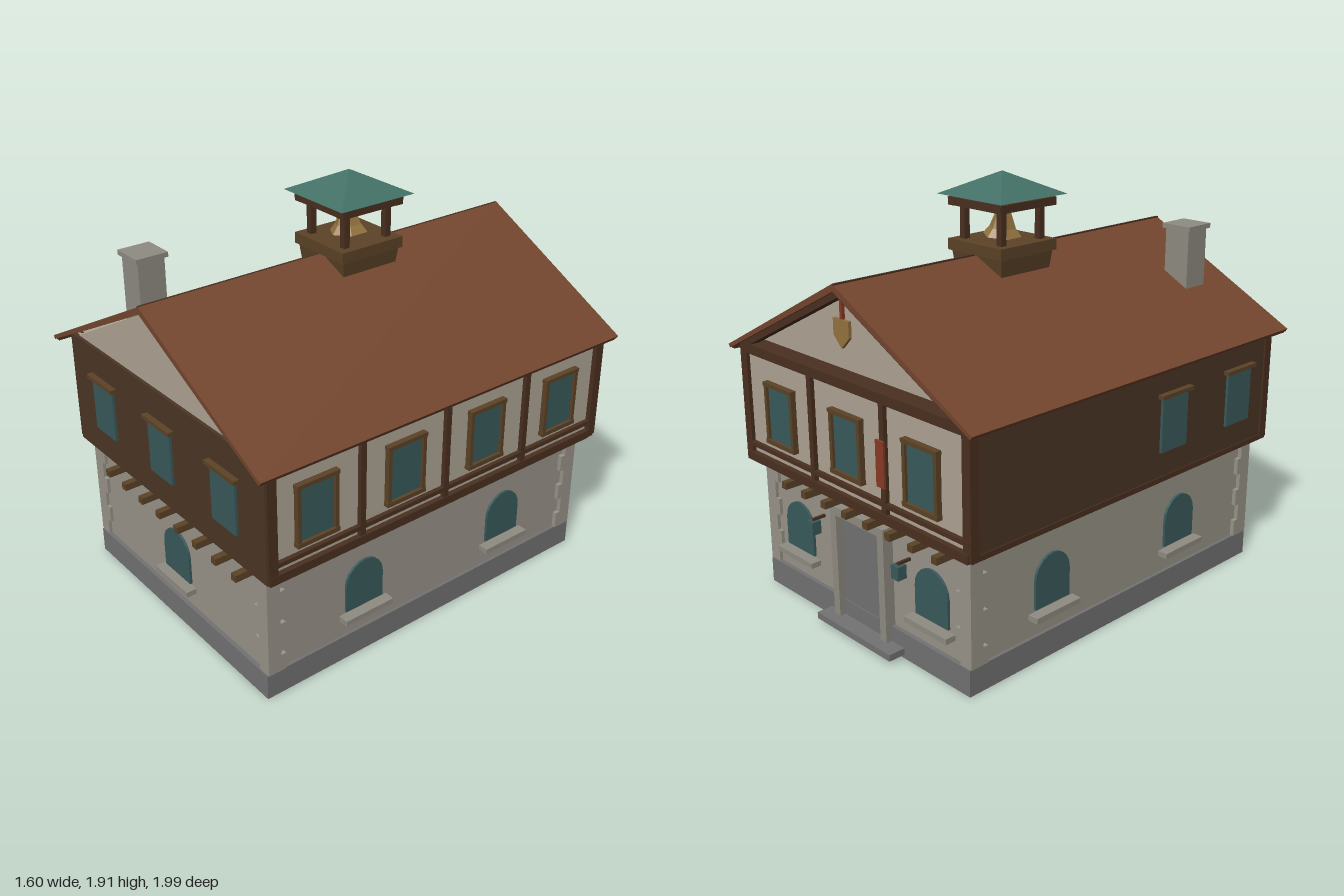
import * as THREE from 'three';

const mat = (color) => new THREE.MeshStandardMaterial({ color, flatShading: true, side: THREE.DoubleSide });
const M = {
  stone: mat(0x9a958a), base: mat(0x737373), trim: mat(0x8f8c82), plaster: mat(0xb0a595),
  timber: mat(0x4a3020), plank: mat(0x4c3626), frame: mat(0x5c4327), glass: mat(0x3a5a5c),
  roof: mat(0x74462f), ridge: mat(0x4a2f22), copper: mat(0x437066), brass: mat(0x94743f), red: mat(0x8a3a24),
};

function add(parent, name, geo, m, x = 0, y = 0, z = 0) {
  const mesh = new THREE.Mesh(geo, m);
  mesh.name = name;
  mesh.position.set(x, y, z);
  parent.add(mesh);
  return mesh;
}
const box = (p, name, m, w, h, d, x, y, z) => add(p, name, new THREE.BoxGeometry(w, h, d), m, x, y, z);

function sub(parent, name, x = 0, y = 0, z = 0) {
  const g = new THREE.Group();
  g.name = name;
  g.position.set(x, y, z);
  parent.add(g);
  return g;
}

function polygon(points, depth) {
  const s = new THREE.Shape(points.map(([x, y]) => new THREE.Vector2(x, y)));
  return new THREE.ExtrudeGeometry(s, { depth, bevelEnabled: false });
}

// beam laid between two points of a wall plane
function beam(p, name, a, b, t, d, z) {
  const dx = b[0] - a[0], dy = b[1] - a[1];
  const m = box(p, name, M.timber, Math.hypot(dx, dy), t, d, (a[0] + b[0]) / 2, (a[1] + b[1]) / 2, z);
  m.rotation.z = Math.atan2(dy, dx);
}

// arched lower window with a stone sill
function archedWindow(p, u, d) {
  const g = sub(p, 'archedWindow', u, 0, d);
  const s = new THREE.Shape();
  s.moveTo(-0.1, 0.24);
  s.lineTo(0.1, 0.24);
  s.lineTo(0.1, 0.37);
  s.absarc(0, 0.37, 0.1, 0, Math.PI, false);
  s.closePath();
  add(g, 'pane', new THREE.ExtrudeGeometry(s, { depth: 0.012, bevelEnabled: false, curveSegments: 5 }), M.glass);
  box(g, 'sill', M.trim, 0.26, 0.025, 0.06, 0, 0.215, 0.02);
}

// framed upper window
function upperWindow(p, u, d, framed = true) {
  const g = sub(p, 'upperWindow', u, 0, d);
  box(g, 'pane', M.glass, 0.17, 0.25, 0.015, 0, 0.885, 0.005);
  box(g, 'lintel', M.frame, 0.21, 0.018, 0.035, 0, 1.018, 0.01);
  if (!framed) return;
  for (const s of [-1, 1]) box(g, 'jamb', M.frame, 0.018, 0.26, 0.03, s * 0.093, 0.885, 0.01);
  box(g, 'sill', M.frame, 0.21, 0.02, 0.035, 0, 0.752, 0.01);
}

// exposed frame of posts and rails on an upper wall
function timberFrame(p, posts, half, d) {
  for (const u of posts) box(p, 'post', M.timber, 0.028, 0.52, 0.03, u, 0.89, d);
  box(p, 'topRail', M.timber, half * 2, 0.03, 0.035, 0, 1.145, d);
  box(p, 'middleRail', M.timber, half * 2, 0.02, 0.03, 0, 0.7, d);
  box(p, 'bottomRail', M.timber, half * 2, 0.04, 0.04, 0, 0.64, d);
}

function brackets(p, d) {
  for (let i = 0; i < 8; i++)
    box(p, 'joistEnd', M.frame, 0.032, 0.032, 0.12, -0.43 + i * 0.143, 0.585, d);
}

function buildCupola(parent) {
  const g = sub(parent, 'bellCupola', -0.01, 0, -0.08);
  const foot = add(g, 'foot', new THREE.CylinderGeometry(0.222, 0.205, 0.1, 4), M.frame, 0, 1.53, 0);
  foot.rotation.y = Math.PI / 4;
  box(g, 'platform', M.frame, 0.335, 0.05, 0.335, 0, 1.59, 0);
  for (const x of [-1, 1]) for (const z of [-1, 1])
    box(g, 'post', M.timber, 0.03, 0.16, 0.03, x * 0.115, 1.69, z * 0.115);
  for (const s of [-1, 1]) {
    box(g, 'topBeam', M.timber, 0.335, 0.035, 0.04, 0, 1.78, s * 0.145);
    box(g, 'topBeam', M.timber, 0.04, 0.035, 0.335, s * 0.145, 1.78, 0);
  }
  const roof = add(g, 'copperRoof', new THREE.ConeGeometry(0.2 * Math.SQRT2, 0.1, 4), M.copper, 0, 1.86, 0);
  roof.rotation.y = Math.PI / 4;
  const profile = [[0.001, 0.12], [0.03, 0.115], [0.045, 0.075], [0.06, 0.035], [0.088, 0]];
  const bell = add(g, 'bell', new THREE.LatheGeometry(profile.map(([x, y]) => new THREE.Vector2(x, y)), 6),
    M.brass, 0, 1.63, 0);
  bell.rotation.z = 0.08;
  box(g, 'bellHanger', M.timber, 0.02, 0.04, 0.02, 0, 1.76, 0);
}

function buildEntrance(back, d) {
  const g = sub(back, 'entrance', 0.02, 0, d);
  box(g, 'door', M.base, 0.3, 0.45, 0.02, 0, 0.3, 0.005);
  for (const s of [-1, 1]) box(g, 'doorJamb', M.trim, 0.04, 0.5, 0.06, s * 0.16, 0.3, 0.02);
  box(g, 'doorLintel', M.trim, 0.36, 0.04, 0.06, 0, 0.55, 0.02);
  box(g, 'doorStep', M.base, 0.5, 0.03, 0.1, 0.01, 0.033, 0.05);
  for (const s of [-1, 1]) {
    const l = sub(g, 'lantern', s * 0.29, 0.43, 0.06);
    box(l, 'lanternBody', M.glass, 0.045, 0.06, 0.045, 0, 0, 0);
    box(l, 'lanternArm', M.timber, 0.012, 0.012, 0.07, 0, 0.035, -0.03);
  }
}

export function createModel() {
  const model = new THREE.Group();
  model.name = 'house';
  const body = sub(model, 'walls', -0.01);

  // stone storey on its plinth
  box(body, 'plinth', M.base, 1.37, 0.12, 1.82, 0, 0.06, -0.01);
  box(body, 'stoneWalls', M.stone, 1.34, 0.5, 1.78, 0, 0.37, -0.01);
  for (const x of [-1, 1]) for (const z of [-1, 1]) for (let i = 0; i < 6; i++) {
    const long = i % 2 ? 0.09 : 0.065;
    box(body, 'cornerStone', M.stone, long, 0.08, 0.155 - long,
      x * (0.69 - long / 2), 0.16 + i * 0.08, -0.01 + z * (0.905 - (0.155 - long) / 2));
  }

  // overhanging timber storey
  box(body, 'upperFloor', M.timber, 1.5, 0.025, 1.88, 0, 0.632, -0.02);
  box(body, 'upperWalls', M.plaster, 1.46, 0.52, 1.86, 0, 0.9, -0.02);
  for (const x of [-1, 1]) for (const z of [0.9, -0.945])
    box(body, 'cornerPost', M.timber, 0.045, 0.53, 0.045, x * 0.73, 0.895, z);
  add(body, 'gableFill', polygon([[-0.72, 1.155], [0.72, 1.155], [0, 1.535]], 1.79), M.plaster, 0.01, 0, -0.88);

  // one group per side, each with its own outward direction
  const [front, right, back, left] = ['frontSide', 'leftSide', 'backSide', 'rightSide'].map((n, i) => {
    const g = sub(body, n);
    g.rotation.y = i * Math.PI / 2;
    return g;
  });

  // front: planked wall with three windows
  box(front, 'planking', M.plank, 1.48, 0.54, 0.02, 0, 0.89, 0.915);
  for (const u of [-0.47, 0, 0.47]) upperWindow(front, u, 0.925, false);
  archedWindow(front, 0, 0.88);
  brackets(front, 0.91);

  // long side with exposed frame
  timberFrame(right, [-0.45, 0.01, 0.48], 0.92, 0.735);
  for (const u of [-0.68, -0.22, 0.24, 0.7]) upperWindow(right, u, 0.73);
  for (const u of [-0.38, 0.45]) archedWindow(right, u, 0.67);

  // planked long side
  box(left, 'planking', M.plank, 1.86, 0.54, 0.02, -0.02, 0.89, 0.735);
  for (const u of [0.22, 0.68]) upperWindow(left, u, 0.745, false);
  for (const u of [-0.45, 0.38]) archedWindow(left, u, 0.67);

  // back: entrance, exposed frame and open gable truss
  timberFrame(back, [-0.24, 0.24], 0.74, 0.955);
  for (const u of [-0.47, 0, 0.47]) upperWindow(back, u, 0.95);
  for (const u of [-0.45, 0.45]) archedWindow(back, u, 0.9);
  brackets(back, 0.935);
  buildEntrance(back, 0.9);
  box(back, 'banner', M.red, 0.05, 0.2, 0.01, 0.24, 0.88, 0.978);
  beam(back, 'rafter', [-0.73, 1.16], [0, 1.53], 0.035, 0.05, 0.95);
  beam(back, 'rafter', [0.73, 1.16], [0, 1.53], 0.035, 0.05, 0.95);
  beam(back, 'tieBeam', [-0.74, 1.16], [0.74, 1.16], 0.03, 0.09, 0.93);
  add(back, 'gablePendant', polygon([[-0.05, 1.42], [0.05, 1.42], [0.05, 1.35], [0, 1.3], [-0.05, 1.35]], 0.015),
    M.brass, 0, 0, 0.95);
  box(back, 'pendantHanger', M.red, 0.015, 0.1, 0.015, 0, 1.46, 0.955);

  // gable roof slab and ridge seam
  add(model, 'roof', polygon(
    [[-0.8, 1.15], [-0.79, 1.135], [0, 1.535], [0.79, 1.135], [0.8, 1.15], [0, 1.567]], 1.98), M.roof, 0, 0, -0.99);
  box(model, 'ridgeSeam', M.ridge, 0.01, 0.008, 1.98, -0.005, 1.564, 0);
  for (const s of [-1, 1]) box(model, 'eaveBoard', M.ridge, 0.02, 0.02, 1.96, s * 0.78, 1.142, 0);

  // chimney
  const chimney = sub(model, 'chimney', -0.385, 0, 0.735);
  box(chimney, 'stack', M.trim, 0.13, 0.3, 0.13, 0, 1.45, 0);
  box(chimney, 'cap', M.trim, 0.155, 0.022, 0.155, 0, 1.611, 0);

  buildCupola(model);
  return model;
}
